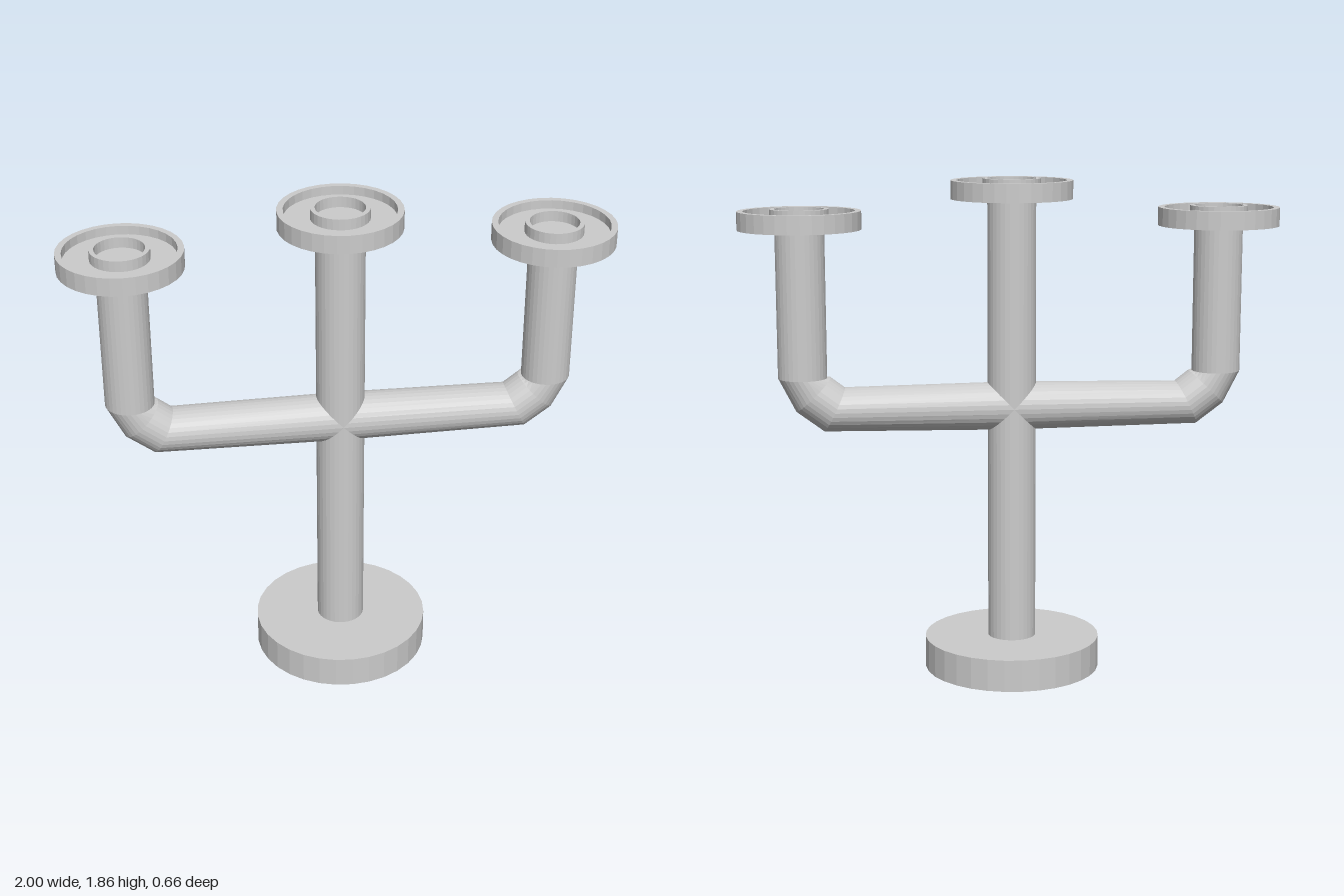
import * as THREE from 'three';

const SIDES = 32;
const TUBE_R = 0.09;
const ARM_X = 0.775;

export function createModel() {
  const group = new THREE.Group();
  const material = new THREE.MeshStandardMaterial({ color: 0xcccccc, flatShading: true });

  const add = (name, geometry, x = 0, y = 0) => {
    const mesh = new THREE.Mesh(geometry, material);
    mesh.name = name;
    mesh.position.set(x, y, 0);
    group.add(mesh);
    return mesh;
  };

  // Round foot and upright stem
  add('base', new THREE.CylinderGeometry(0.33, 0.33, 0.12, SIDES), 0, 0.06);
  add('stem', new THREE.CylinderGeometry(TUBE_R, TUBE_R, 1.7, SIDES), 0, 0.95);

  // Side arms: one mitred pipe, turned round for the other side
  const arm = pipe([
    [0, 1.01, 0],
    [0.66, 1.01, 26],
    [0.737, 1.068, 46],
    [ARM_X, 1.13, 90],
    [ARM_X, 1.69, 90],
  ]);
  add('leftArm', arm);
  add('rightArm', arm).rotation.y = Math.PI;

  // Candle cups: dish with a raised rim and an inner socket ring
  const cup = new THREE.LatheGeometry([
    [0, 0], [0.225, 0], [0.225, 0.068], [0.202, 0.068], [0.202, 0.035],
    [0.107, 0.035], [0.107, 0.075], [0.09, 0.075], [0.09, 0.035], [0, 0.035],
  ].map(([r, y]) => new THREE.Vector2(r, y)), SIDES);
  add('centreCup', cup, 0, 1.78);
  add('leftCup', cup, ARM_X, 1.675);
  add('rightCup', cup, -ARM_X, 1.675);

  return group;
}

// Sweeps a circle through stations [x, y, heading in degrees] in the xy plane
function pipe(stations) {
  const positions = [];
  const index = [];
  const row = SIDES + 1;
  stations.forEach(([x, y, degrees], i) => {
    const t = THREE.MathUtils.degToRad(degrees);
    for (let j = 0; j <= SIDES; j++) {
      const a = (j / SIDES) * Math.PI * 2;
      const n = TUBE_R * Math.cos(a);
      positions.push(x - n * Math.sin(t), y + n * Math.cos(t), TUBE_R * Math.sin(a));
      if (i > 0 && j < SIDES) {
        const p = (i - 1) * row + j;
        const q = p + row;
        index.push(p, p + 1, q, p + 1, q + 1, q);
      }
    }
  });
  const geometry = new THREE.BufferGeometry();
  geometry.setAttribute('position', new THREE.Float32BufferAttribute(positions, 3));
  geometry.setIndex(index);
  geometry.computeVertexNormals();
  return geometry;
}
